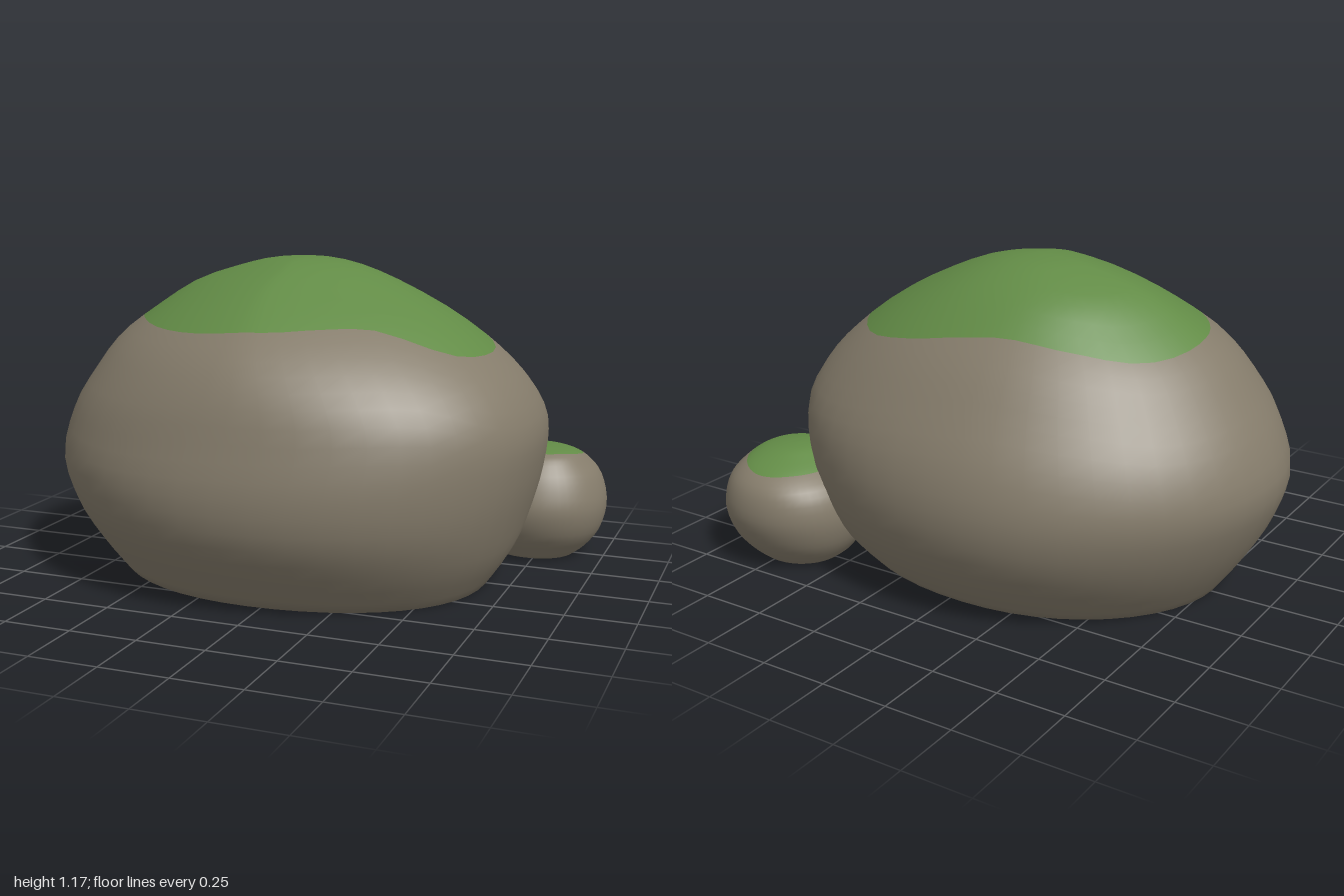
import * as THREE from 'three';

const SIDES = 48, ROCK_ROWS = 18, MOSS_ROWS = 10;

// Catmull-Rom through values at evenly spaced positions
function spline(p0, p1, p2, p3, t) {
  return 0.5 * (2 * p1 + (p2 - p0) * t + (2 * p0 - 5 * p1 + 4 * p2 - p3) * t * t
    + (3 * p1 - p0 - 3 * p2 + p3) * t * t * t);
}

// Moss radius at an angle, from radii spaced evenly around the circle
function radiusAt(radii, angle) {
  const n = radii.length;
  const u = ((angle / (Math.PI * 2)) * n + n) % n;
  const i = Math.floor(u);
  const at = (k) => radii[(k + n) % n];
  return spline(at(i - 1), at(i), at(i + 1), at(i + 2), u - i);
}

// Power bending an ellipse: below 1 squarer, above 1 leaner at the corners
function largePower(v, a) {
  const upper = Math.max(0, Math.min(v, 0.7) - 0.4);
  return 0.96 - 0.07 * Math.cos(a) + upper * (0.6 + 0.6 * Math.sin(a));
}

// levels: [y, left x, right x, back z, front z] from the base to the peak
function boulder(levels, power, moss, materials) {
  const last = levels.length - 1;

  function point(v, a) {
    const u = v * last;
    const i = Math.min(Math.floor(u), last - 1);
    const row = (k) => levels[Math.max(0, Math.min(last, k))];
    const [y, x0, x1, z0, z1] = levels[0].map((_, c) =>
      spline(row(i - 1)[c], row(i)[c], row(i + 1)[c], row(i + 2)[c], u - i));
    const p = power(v, a);
    const bulge = (s) => Math.sign(s) * Math.pow(Math.abs(s), p);
    return [
      (x0 + x1) / 2 + ((x1 - x0) / 2) * bulge(Math.cos(a)),
      y,
      (z0 + z1) / 2 + ((z1 - z0) / 2) * bulge(Math.sin(a)),
    ];
  }

  // Level at which the moss edge crosses this side of the boulder
  function mossLevel(a) {
    let lo = 0.35, hi = 1;
    for (let k = 0; k < 24; k++) {
      const mid = (lo + hi) / 2;
      const p = point(mid, a);
      const dx = p[0] - moss.x, dz = p[2] - moss.z;
      if (Math.hypot(dx, dz) > radiusAt(moss.radii, Math.atan2(dz, dx))) lo = mid;
      else hi = mid;
    }
    return lo;
  }

  const angles = Array.from({ length: SIDES }, (_, i) => (i / SIDES) * Math.PI * 2);
  const edges = angles.map(mossLevel);
  const positions = [], index = [];
  const rows = ROCK_ROWS + MOSS_ROWS;
  for (let j = 0; j < rows; j++) {
    angles.forEach((a, i) => {
      const v = j <= ROCK_ROWS
        ? edges[i] * (j / ROCK_ROWS)
        : edges[i] + (1 - edges[i]) * ((j - ROCK_ROWS) / MOSS_ROWS);
      positions.push(...point(v, a));
    });
  }
  const peak = positions.length / 3;
  positions.push(...point(1, 0));

  // Flat base, sharing the rim so the shading rolls under
  const [y, x0, x1, z0, z1] = levels[0];
  positions.push((x0 + x1) / 2, y, (z0 + z1) / 2);
  for (let i = 0; i < SIDES; i++) index.push(peak + 1, i, (i + 1) % SIDES);

  // Sides, then the moss cap
  let mossStart = 0;
  for (let j = 0; j < rows; j++) {
    if (j === ROCK_ROWS) mossStart = index.length;
    for (let i = 0; i < SIDES; i++) {
      const n = (i + 1) % SIDES;
      const a = j * SIDES + i, b = j * SIDES + n;
      if (j === rows - 1) index.push(a, peak, b);
      else index.push(a, a + SIDES, b, b, a + SIDES, b + SIDES);
    }
  }

  const geometry = new THREE.BufferGeometry();
  geometry.setAttribute('position', new THREE.Float32BufferAttribute(positions, 3));
  geometry.setIndex(index);
  geometry.addGroup(0, mossStart, 0);
  geometry.addGroup(mossStart, index.length - mossStart, 1);
  geometry.computeVertexNormals();
  return new THREE.Mesh(geometry, materials);
}

export function createModel() {
  const stone = new THREE.MeshStandardMaterial({ color: 0x857c6b });
  stone.name = 'stone';
  const mossGreen = new THREE.MeshStandardMaterial({ color: 0x628b46 });
  mossGreen.name = 'moss green';
  const materials = [stone, mossGreen];

  const group = new THREE.Group();
  group.name = 'mossyBoulders';

  const large = boulder([
    [0.0, -0.77, 0.66, -0.55, 0.56],
    [0.13, -0.865, 0.745, -0.67, 0.67],
    [0.28, -0.95, 0.80, -0.755, 0.76],
    [0.44, -1.0, 0.84, -0.78, 0.78],
    [0.6, -0.96, 0.85, -0.745, 0.745],
    [0.75, -0.87, 0.78, -0.66, 0.70],
    [0.88, -0.77, 0.65, -0.57, 0.615],
    [0.99, -0.63, 0.49, -0.46, 0.47],
    [1.08, -0.49, 0.31, -0.35, 0.30],
    [1.14, -0.31, 0.16, -0.23, 0.16],
    [1.167, -0.19, 0.04, -0.14, 0.06],
    [1.175, -0.06, -0.06, -0.03, -0.03],
  ], largePower, {
    x: 0, z: 0,
    radii: [0.67, 0.65, 0.49, 0.47, 0.51, 0.55, 0.59, 0.64,
      0.70, 0.68, 0.58, 0.50, 0.49, 0.53, 0.59, 0.62],
  }, materials);
  large.name = 'largeBoulder';

  const small = boulder([
    [0.0, 0.57, 0.88, -0.645, -0.36],
    [0.04, 0.52, 0.93, -0.69, -0.32],
    [0.11, 0.475, 0.98, -0.745, -0.265],
    [0.21, 0.455, 1.0, -0.78, -0.238],
    [0.31, 0.48, 0.975, -0.765, -0.265],
    [0.37, 0.55, 0.93, -0.71, -0.305],
    [0.41, 0.62, 0.88, -0.62, -0.35],
    [0.428, 0.67, 0.80, -0.56, -0.42],
    [0.433, 0.73, 0.73, -0.49, -0.49],
  ], () => 0.96, {
    x: 0.73, z: -0.53,
    radii: [0.17, 0.17, 0.17, 0.18, 0.17, 0.17, 0.18, 0.17],
  }, materials);
  small.name = 'smallBoulder';

  group.add(large, small);
  return group;
}
